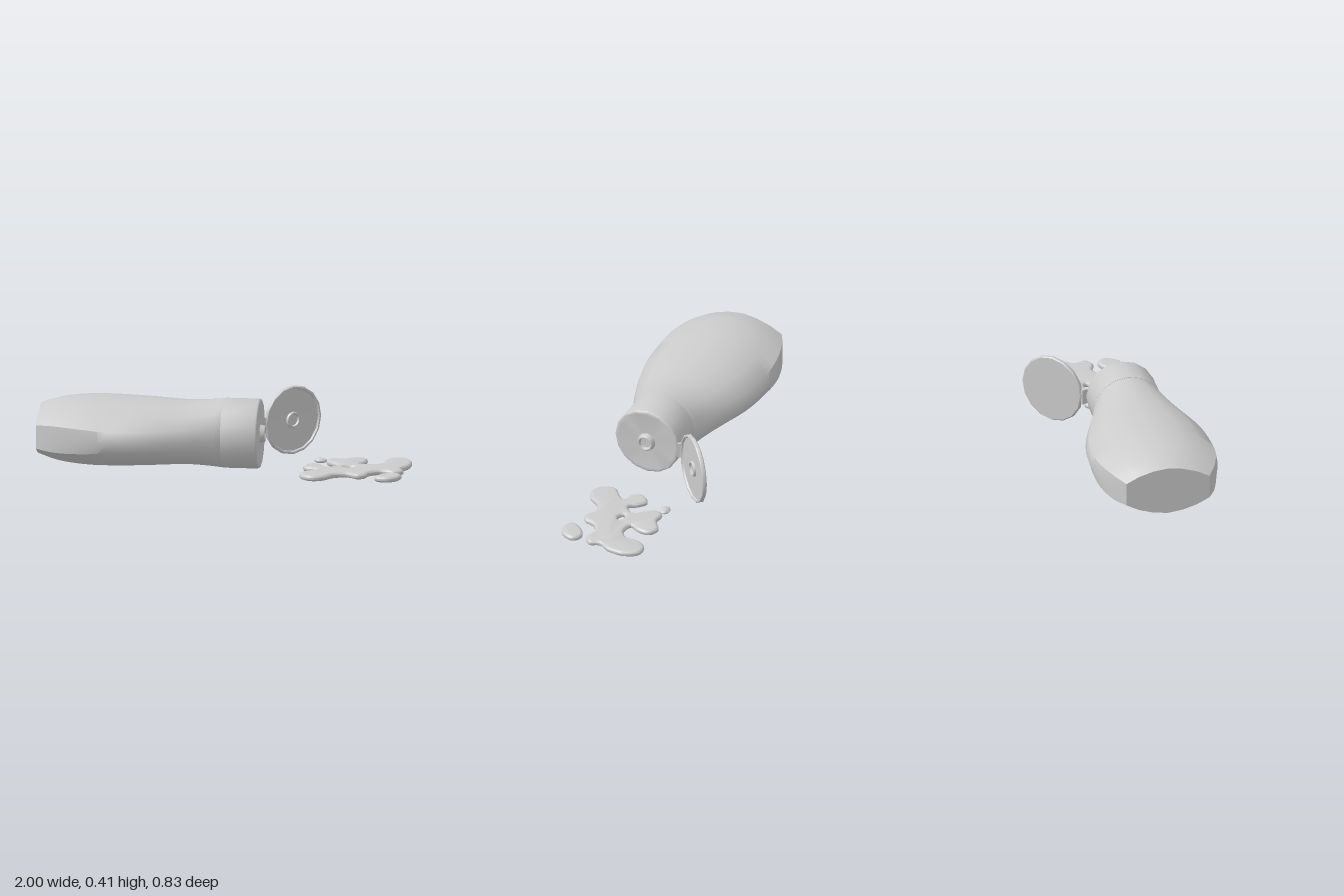
import * as THREE from 'three';
import { toCreasedNormals } from 'three/addons/utils/BufferGeometryUtils.js';

const material = new THREE.MeshStandardMaterial({ color: 0xcccccc });
const AXIS_Y = 0.217, AXIS_Z = 0.071;

function addMesh(parent, name, geometry, crease = 0.7) {
  const mesh = new THREE.Mesh(toCreasedNormals(geometry, crease), material);
  mesh.name = name;
  parent.add(mesh);
  return mesh;
}

// Turned part: points are [radius, distance along +x]
function turned(points, sides) {
  const geo = new THREE.LatheGeometry(points.map(([r, d]) => new THREE.Vector2(r, d)), sides);
  return geo.rotateZ(-Math.PI / 2);
}

// Quarter cross-sections (top to side), as [z, y] fractions of the half sizes
const SECTIONS = [
  { x: -1, pts: [[0, 1], [0.36, 0.92], [0.7, 0.74], [1, 0.48], [1, 0]] },
  { x: -0.6, pts: [[0, 1], [0.38, 0.92], [0.69, 0.68], [0.95, 0.31], [1, 0]] },
  { x: 0, pts: [[0, 1], [0.383, 0.924], [0.707, 0.707], [0.924, 0.383], [1, 0]] },
];

function sectionPoint(x, i) {
  const [a, b] = x < SECTIONS[1].x ? SECTIONS : SECTIONS.slice(1);
  const t = (x - a.x) / (b.x - a.x);
  return [0, 1].map((k) => a.pts[i][k] + (b.pts[i][k] - a.pts[i][k]) * t);
}

// Squeezed bottle body lofted along x
function bodyGeometry() {
  // x, half height, half width
  const stations = [
    [-1, 0.135, 0.23], [-0.9, 0.166, 0.283], [-0.75, 0.183, 0.33], [-0.6, 0.184, 0.345],
    [-0.4, 0.177, 0.326], [-0.2, 0.17, 0.265], [-0.1, 0.177, 0.228], [0, 0.19, 0.192],
  ];
  const curve = new THREE.CatmullRomCurve3(stations.map((s) => new THREE.Vector3(...s)));
  const rings = 21, sides = 16, pos = [], index = [];
  for (let s = 0; s <= rings; s++) {
    const p = curve.getPoint(s / rings);
    for (let j = 0; j < sides; j++) {
      const q = Math.floor(j / 4), r = j % 4;
      const [z, y] = sectionPoint(p.x, q % 2 ? 4 - r : r);
      pos.push(p.x, AXIS_Y + (q === 0 || q === 3 ? y : -y) * p.y, AXIS_Z + (q < 2 ? z : -z) * p.z);
    }
  }
  const centre = pos.length / 3;
  pos.push(-1, AXIS_Y, AXIS_Z);
  for (let j = 0; j < sides; j++) {
    const k = (j + 1) % sides;
    index.push(centre, k, j);
    for (let s = 0; s < rings; s++) {
      const a = s * sides + j, b = s * sides + k;
      index.push(a, b, a + sides, b, b + sides, a + sides);
    }
  }
  const geo = new THREE.BufferGeometry();
  geo.setAttribute('position', new THREE.Float32BufferAttribute(pos, 3));
  geo.setIndex(index);
  return geo;
}

// Flat rounded pool from an outline in x, z
function poolGeometry(shape) {
  const geo = new THREE.ExtrudeGeometry(shape, {
    depth: 0.005, bevelThickness: 0.014, bevelSize: 0.02, bevelOffset: -0.02, bevelSegments: 4, curveSegments: 20,
  });
  return geo.rotateX(Math.PI / 2).translate(0, 0.019, 0);
}

function smoothShape(points) {
  const curve = new THREE.CatmullRomCurve3(points.map(([x, z]) => new THREE.Vector3(x, z, 0)), true);
  return new THREE.Shape(curve.getPoints(points.length * 4).slice(0, -1).map((p) => new THREE.Vector2(p.x, p.y)));
}

export function createModel() {
  const model = new THREE.Group();
  model.name = 'spilledBottle';

  addMesh(model, 'bottleBody', bodyGeometry());

  // Cap with softened front edge
  const cap = addMesh(model, 'cap', turned(
    [[0, 0], [0.192, 0], [0.192, 0.188], [0.189, 0.195], [0.182, 0.199], [0.17, 0.197], [0, 0.197]], 16));
  cap.position.set(0, AXIS_Y, AXIS_Z);

  // Nozzle with a recessed opening
  const nozzle = addMesh(model, 'nozzle', turned(
    [[0.052, 0], [0.047, 0.008], [0.046, 0.024], [0.042, 0.029], [0.036, 0.029], [0.032, 0.024],
      [0.03, 0.012], [0.006, 0.01], [0.004, 0.003], [0, 0.003]], 16));
  nozzle.position.set(0.196, AXIS_Y, AXIS_Z);

  // Hinge between cap and lid
  const hinge = addMesh(model, 'hinge', new THREE.BoxGeometry(0.016, 0.085, 0.034));
  hinge.position.set(0.193, AXIS_Y, -0.13);
  hinge.rotation.y = Math.PI / 8;

  // Open lid with raised rim and sealing ring
  const lid = addMesh(model, 'lid', turned(
    [[0, 0], [0.184, 0], [0.19, 0.005], [0.19, 0.02], [0.186, 0.025], [0.177, 0.025], [0.172, 0.015],
      [0.045, 0.014], [0.042, 0.027], [0.034, 0.027], [0.031, 0.014], [0, 0.014]], 16));
  lid.position.set(0.32, AXIS_Y, -0.285);
  lid.rotation.y = -Math.PI / 4;

  // Spilled puddle with a small gap in it
  const puddle = smoothShape([
    [0.42, -0.01], [0.47, -0.068], [0.52, -0.035], [0.55, 0.005], [0.585, -0.01], [0.605, -0.05],
    [0.57, -0.09], [0.53, -0.14], [0.55, -0.195], [0.62, -0.195], [0.69, -0.24], [0.745, -0.21],
    [0.745, -0.14], [0.72, -0.09], [0.79, -0.08], [0.84, -0.12], [0.845, -0.195], [0.885, -0.25],
    [0.95, -0.25], [0.993, -0.18], [0.99, -0.08], [0.955, -0.015], [0.975, 0.04], [0.925, 0.08],
    [0.855, 0.06], [0.8, 0.1], [0.78, 0.16], [0.735, 0.18], [0.68, 0.145], [0.615, 0.165],
    [0.565, 0.23], [0.5, 0.255], [0.435, 0.215], [0.425, 0.145], [0.48, 0.095], [0.505, 0.06], [0.445, 0.04],
  ]);
  puddle.holes.push(new THREE.Path().absellipse(0.672, -0.008, 0.03, 0.018, 0, Math.PI * 2, true));
  addMesh(model, 'puddle', poolGeometry(puddle), 1);

  // Separate drops
  addMesh(model, 'largeDrop', poolGeometry(smoothShape([
    [0.835, 0.205], [0.865, 0.14], [0.93, 0.105], [0.975, 0.135], [0.965, 0.195], [0.915, 0.235], [0.86, 0.23],
  ])), 1);
  const dot = new THREE.SphereGeometry(1, 20, 12).scale(0.036, 0.014, 0.027).translate(0.493, 0.017, -0.185);
  addMesh(model, 'smallDrop', dot, 1);

  return model;
}
